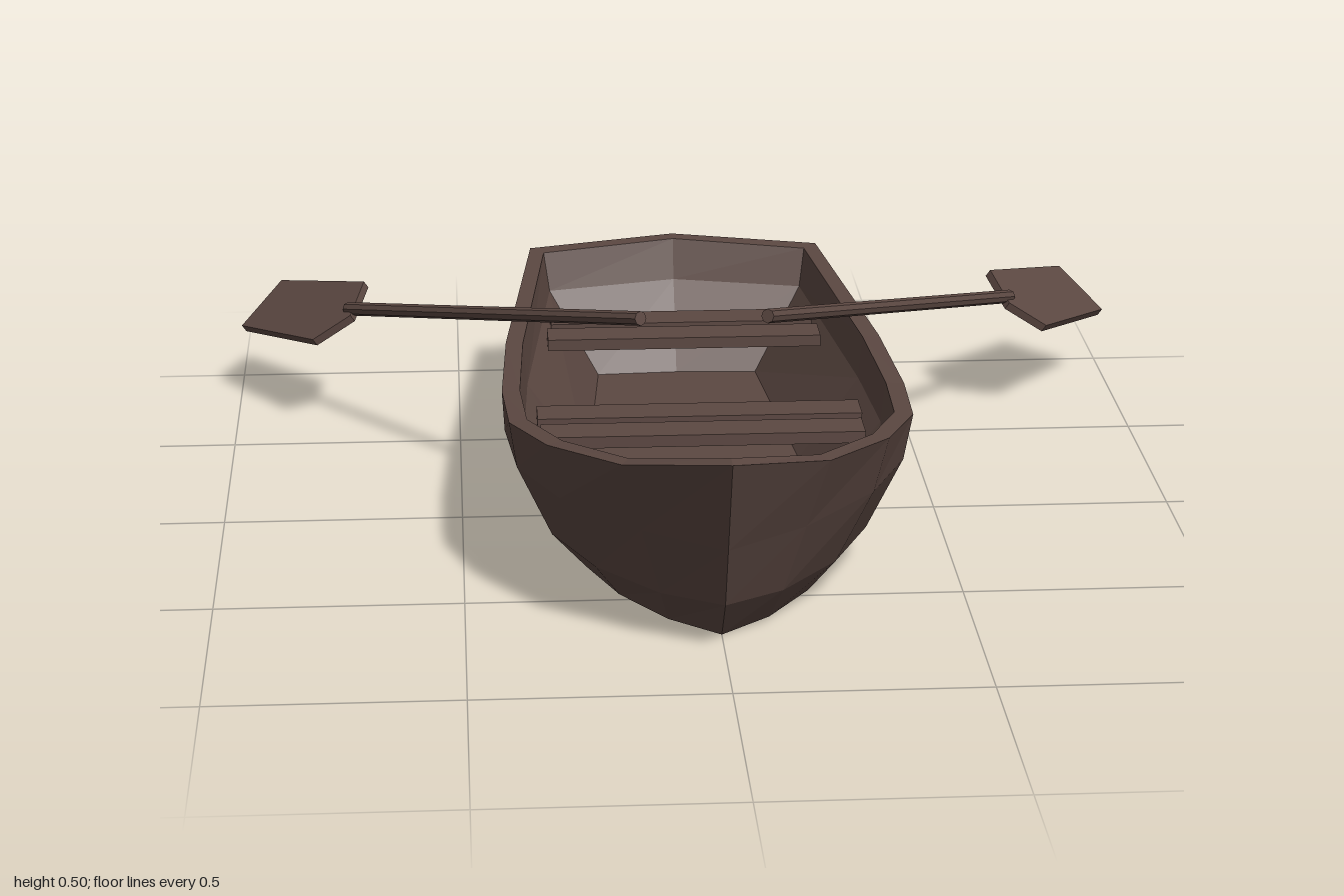
import * as THREE from 'three';

// Faceted skin through rings of points (counter-clockwise seen from above, listed upwards)
function skin(rings, capStart = false, capEnd = false) {
  const pos = [];
  const tri = (a, b, c) => pos.push(...a, ...b, ...c);
  const n = rings[0].length;
  for (let r = 0; r < rings.length - 1; r++) {
    for (let i = 0; i < n; i++) {
      const j = (i + 1) % n;
      const [a, b, c, d] = [rings[r][i], rings[r][j], rings[r + 1][j], rings[r + 1][i]];
      tri(a, b, c);
      tri(a, c, d);
    }
  }
  const cap = (ring, flip) => {
    const mid = [0, 1, 2].map((k) => ring.reduce((s, p) => s + p[k], 0) / n);
    ring.forEach((p, i) => {
      const q = ring[(i + 1) % n];
      if (flip) tri(mid, q, p);
      else tri(mid, p, q);
    });
  };
  if (capStart) cap(rings[0], true);
  if (capEnd) cap(rings[rings.length - 1], false);
  const g = new THREE.BufferGeometry();
  g.setAttribute('position', new THREE.Float32BufferAttribute(pos, 3));
  g.computeVertexNormals();
  return g;
}

// Mirror a half outline (bow, port side, stern centre) into a full ring
function ring(half) {
  const other = half.slice(1, -1).reverse().map(([x, y, z]) => [-x, y, z]);
  return [...half, ...other];
}

const inset = (half, sx, sz, y) => half.map((p) => [p[0] * sx, y ?? p[1], p[2] * sz]);

export function createModel() {
  const boat = new THREE.Group();
  boat.name = 'rowingBoat';
  const wood = new THREE.MeshStandardMaterial({ color: 0x5c4842 });
  wood.name = 'dark brown wood';

  const add = (name, geometry, parent = boat) => {
    const m = new THREE.Mesh(geometry, wood);
    m.name = name;
    parent.add(m);
    return m;
  };

  // Half outlines of the hull at four levels, from bow to stern centre
  const keel = [[0, 0, 0.7], [0.1, 0, 0.61], [0.19, 0, 0.47], [0.25, 0, 0.31],
    [0.27, 0, 0.1], [0.265, 0, -0.2], [0.21, 0, -0.84], [0, 0, -0.85]];
  const chine = [[0, 0.1, 0.8], [0.12, 0.09, 0.7], [0.24, 0.08, 0.52], [0.32, 0.08, 0.33],
    [0.34, 0.075, 0.12], [0.33, 0.07, -0.2], [0.27, 0.05, -0.87], [0, 0.05, -0.88]];
  const upper = [[0, 0.24, 0.875], [0.16, 0.24, 0.75], [0.31, 0.24, 0.56], [0.39, 0.24, 0.37],
    [0.41, 0.24, 0.14], [0.395, 0.23, -0.2], [0.32, 0.23, -0.925], [0, 0.24, -0.97]];
  const rim = [[0, 0.45, 0.985], [0.2, 0.395, 0.81], [0.335, 0.365, 0.6], [0.405, 0.345, 0.4],
    [0.415, 0.328, 0.15], [0.4, 0.322, -0.2], [0.33, 0.315, -0.935], [0, 0.33, -0.985]];

  const rimInner = inset(rim, 0.91, 0.957);
  const upperInner = inset(upper, 0.9, 0.945);
  const floor = inset(keel, 0.86, 0.95, 0.05);

  add('hull', skin([keel, chine, upper, rim].map(ring), true, false));
  add('gunwale', skin([rim, rimInner].map(ring)));
  add('innerLining', skin([rimInner, upperInner, floor].map(ring), false, true));

  // Two benches of two planks each: [centre z, width]
  [[-0.655, 0.585], [-0.54, 0.605], [0.003, 0.68], [0.123, 0.67]].forEach(([z, w]) => {
    add('seatPlank', new THREE.BoxGeometry(w, 0.025, 0.088)).position.set(0, 0.218, z);
  });

  // Oars, one each side
  const blade = [[0.735, 0.255, -0.61], [0.82, 0.2, -0.61], [0.99, 0.155, -0.87],
    [0.9, 0.235, -0.96], [0.705, 0.3, -0.72]];
  const normal = [0.53, 0.82, 0.2];
  for (const side of [1, -1]) {
    const oar = new THREE.Group();
    oar.name = side > 0 ? 'leftOar' : 'rightOar';
    boat.add(oar);

    const start = new THREE.Vector3(side * 0.13, 0.485, 0.17);
    const end = new THREE.Vector3(side * 0.745, 0.265, -0.65);
    const dir = end.clone().sub(start);
    const shaft = add('oarShaft', new THREE.CylinderGeometry(0.015, 0.015, dir.length(), 8).toNonIndexed(), oar);
    shaft.geometry.computeVertexNormals();
    shaft.position.copy(start).add(end).multiplyScalar(0.5);
    shaft.quaternion.setFromUnitVectors(new THREE.Vector3(0, 1, 0), dir.normalize());

    const rings = [-0.009, 0.009].map((t) => {
      const pts = blade.map((p) => p.map((v, k) => (v + normal[k] * t) * (k === 0 ? side : 1)));
      return side > 0 ? pts : pts.reverse();
    });
    add('oarBlade', skin(rings, true, true), oar);
  }
  return boat;
}
